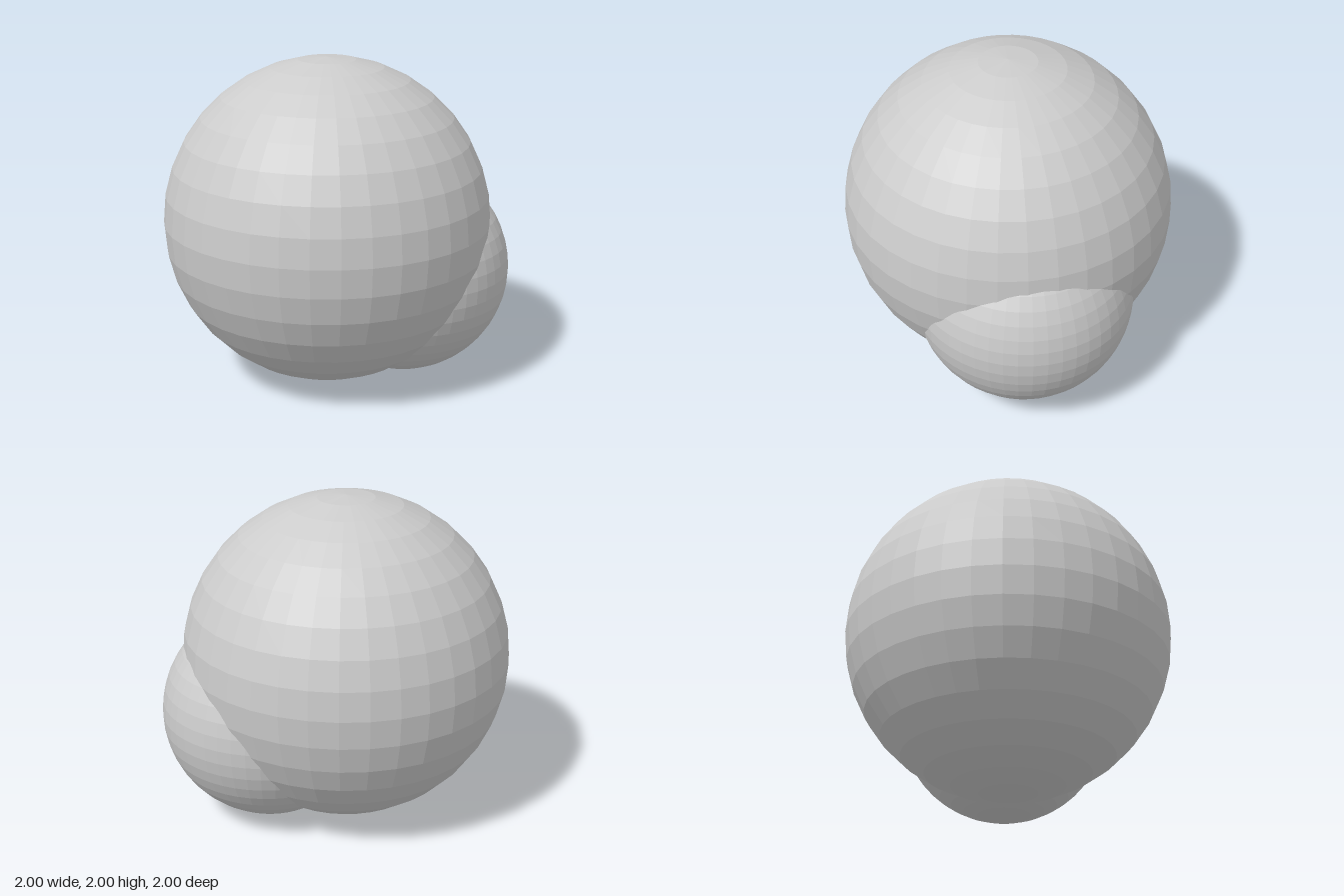
import * as THREE from 'three';

// A faceted ball with vertical poles
function makeBall(name, radius, position, columns) {
  const material = new THREE.MeshStandardMaterial({ color: 0xcccccc, flatShading: true });
  const ball = new THREE.Mesh(new THREE.SphereGeometry(radius, columns, columns / 2), material);
  ball.name = name;
  ball.position.set(...position);
  return ball;
}

export function createModel() {
  const model = new THREE.Group();
  model.name = 'joinedSpheres';
  // Main ball, with a smaller, finer one bulging out at the lower back left
  model.add(
    makeBall('largeSphere', 1, [0, 1, 0], 36),
    makeBall('smallSphere', 0.66, [0.34, 0.67, -0.34], 48),
  );
  return model;
}
